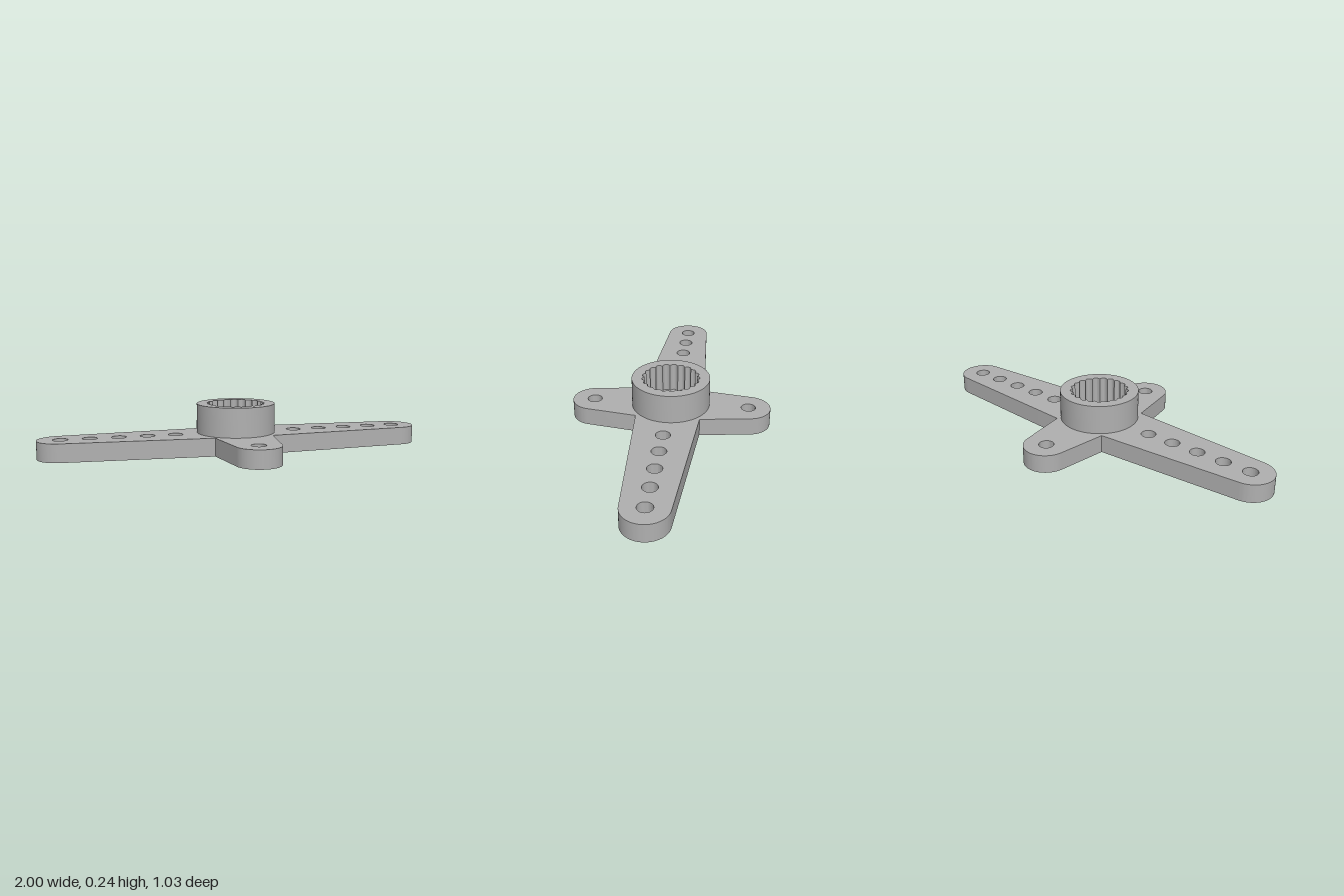
import * as THREE from 'three';
import { toCreasedNormals } from 'three/addons/utils/BufferGeometryUtils.js';

const PLATE_H = 0.092, HUB_TOP = 0.241;
const CORNER = { x: 0.149, y: 0.162 }; // inner corner between two arms
const END_R = 0.113, PIN_R = 0.037;

function circle(x, y, r) {
  return new THREE.Path().absarc(x, y, r, 0, Math.PI * 2, true);
}

// Extrude a ground-plan shape upwards, smooth on curves and sharp on edges
function extrudeUp(shape, y, height, curveSegments) {
  const geometry = new THREE.ExtrudeGeometry(shape, { depth: height, bevelEnabled: false, curveSegments });
  geometry.rotateX(-Math.PI / 2).translate(0, y, 0);
  return toCreasedNormals(geometry, 0.5);
}

// Half angle of an arm's round end, where its tapered sides meet it tangentially
function endAngle(along, across, centre) {
  const dx = along - centre;
  return Math.atan2(across, dx) - Math.acos(END_R / Math.hypot(dx, across));
}

// Four tapered arms with round ends
function plateShape() {
  const shape = new THREE.Shape();
  const arms = [
    { reach: 0.887, half: endAngle(CORNER.x, CORNER.y, 0.887) },
    { reach: 0.4, half: endAngle(CORNER.y, CORNER.x, 0.4) },
  ];
  const signs = [[1, 1], [-1, 1], [-1, -1], [1, -1]];
  for (let i = 0; i < 4; i++) {
    const { reach, half } = arms[i % 2];
    const dir = i * Math.PI / 2;
    shape.absarc(Math.cos(dir) * reach, Math.sin(dir) * reach, END_R, dir - half, dir + half, false);
    shape.lineTo(CORNER.x * signs[i][0], CORNER.y * signs[i][1]);
  }
  shape.closePath();

  // Shaft hole and pin holes
  shape.holes.push(circle(0, 0, 0.073));
  for (const s of [-1, 1]) {
    for (let i = 0; i < 5; i++) shape.holes.push(circle(s * (0.316 + i * 0.1425), 0, PIN_R));
    shape.holes.push(circle(0, s * 0.4, PIN_R));
  }
  return shape;
}

// Ring with a toothed bore
function hubShape() {
  const shape = new THREE.Shape().absarc(0, 0, 0.2, 0, Math.PI * 2, false);
  const teeth = 21, steps = 8, points = [];
  for (let i = 0; i < teeth * steps; i++) {
    const a = -i / (teeth * steps) * Math.PI * 2;
    const r = 0.135 + 0.014 * Math.abs(Math.sin(a * teeth / 2));
    points.push(new THREE.Vector2(Math.cos(a) * r, Math.sin(a) * r));
  }
  shape.holes.push(new THREE.Path(points));
  return shape;
}

export function createModel() {
  const model = new THREE.Group();
  model.name = 'servoHorn';
  const grey = new THREE.MeshStandardMaterial({ color: 0xb0b0b0 });
  grey.name = 'grey plastic';

  const plate = new THREE.Mesh(extrudeUp(plateShape(), 0, PLATE_H, 24), grey);
  plate.name = 'crossPlate';

  const hub = new THREE.Mesh(extrudeUp(hubShape(), PLATE_H, HUB_TOP - PLATE_H, 48), grey);
  hub.name = 'splinedHub';

  model.add(plate, hub);
  return model;
}
